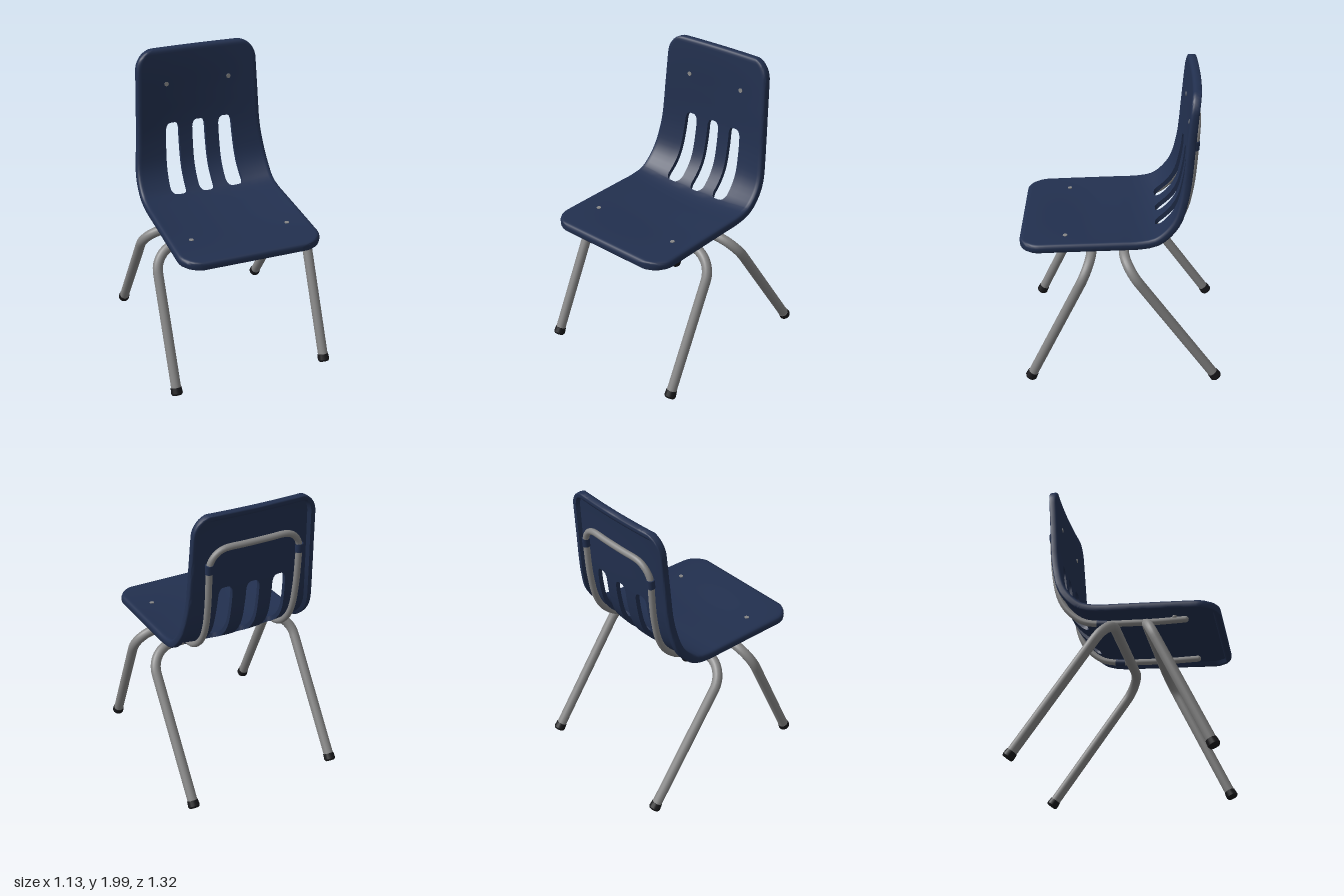
import * as THREE from 'three';
import { toCreasedNormals } from 'three/addons/utils/BufferGeometryUtils.js';

const V = (x, y, z) => new THREE.Vector3(x, y, z);
const { smoothstep, clamp, lerp } = THREE.MathUtils;

// Side profile of the sitting surface, from the front edge to the top of the back
const profile = new THREE.CatmullRomCurve3([
  [1.0, 0.665], [1.015, 0.35], [1.03, 0], [1.035, -0.1], [1.062, -0.21], [1.17, -0.31],
  [1.34, -0.357], [1.66, -0.385], [1.85, -0.4], [2.0, -0.413],
].map(([y, z]) => V(0, y, z)), false, 'centripetal');
profile.arcLengthDivisions = 600;
const L = profile.getLength();
const samples = profile.getSpacedPoints(600);
const sWhere = (test) => samples.findIndex(test) / 600 * L;
const slotStart = sWhere((p) => p.z < -0.2);
const slotEnd = sWhere((p) => p.y > 1.48);

// Point at x across, s along the profile and a depth below the dished surface
function at(x, s, depth) {
  const u = clamp(s / L, 0, 1);
  const p = profile.getPointAt(u), t = profile.getTangentAt(u);
  const bow = 0.035 * smoothstep(s, 0, 0.5) * (1 - 0.4 * smoothstep(s, L - 0.5, L));
  const k = bow * (1 - (x / 0.47) ** 2) + depth;
  return V(x, p.y + t.z * k, p.z - t.y * k);
}

const quarter = (d, r) => (d >= r ? 1 : Math.sqrt(Math.max(0, 1 - (1 - d / r) ** 2)));

// Half width of the shell, with rounded corners at both ends
function halfWidth(s) {
  const y = profile.getPointAt(clamp(s / L, 0, 1)).y;
  const w = 0.478 - 0.035 * smoothstep(y, 1.08, 1.45) - 0.028 * clamp((y - 1.4) / 0.6, 0, 1);
  return w - 0.16 * (1 - quarter(s, 0.14)) - 0.12 * (1 - quarter(L - s, 0.13));
}

// Column positions on the +x half of one row
const RIM = [0.05, 0.035, 0.022, 0.009, 0.003, 0];
function halfColumns(s) {
  const t = clamp((s - slotStart) / (slotEnd - slotStart), 0, 1);
  const e = Math.max(0, Math.min(s - slotStart, slotEnd - s));
  const f = 0.35 + 0.65 * quarter(e, 0.05);
  const mid = 0.204 - 0.016 * t, h = (0.059 - 0.012 * t) * f;
  const c = (0.054 - 0.008 * t) * f, a = mid - h, b = mid + h;
  const w = halfWidth(s);
  return [c, (a + c) / 2, a, b, lerp(b, w - 0.05, 0.33), lerp(b, w - 0.05, 0.67), ...RIM.map((d) => w - d)];
}

// Moulded shell: thin sheet with a turned rim and three slots
function shellGeometry() {
  const keys = [0, 0.003, 0.009, 0.022, 0.035, 0.05, 0.09, 0.14];
  const ends = [0, 0.003, 0.01, 0.022, 0.036, 0.05];
  const marks = [...keys, ...keys.map((k) => L - k),
    ...ends.map((k) => slotStart + k), ...ends.map((k) => slotEnd - k)].sort((a, b) => a - b);
  const rows = [];
  for (let i = 0; i < marks.length - 1; i++) {
    const n = Math.ceil((marks[i + 1] - marks[i]) / 0.04);
    for (let k = 0; k < n; k++) rows.push(lerp(marks[i], marks[i + 1], k / n));
  }
  rows.push(L);

  const pos = [], index = [];
  let cols = 0;
  for (const s of rows) {
    const half = halfColumns(s), w = halfWidth(s);
    const xs = [...half.map((x) => -x).reverse(), ...half];
    cols = xs.length;
    for (const x of xs) {
      const d = Math.max(0, Math.min(w - Math.abs(x), s, L - s));
      const top = 0.022 * (1 - quarter(d, 0.022));
      const under = 0.03 + 0.024 * (1 - smoothstep(d, 0.034, 0.05)) - 0.007 * (1 - quarter(d, 0.009));
      pos.push(...at(x, s, top).toArray(), ...at(x, s, under).toArray());
    }
  }
  const m = cols / 2;
  const slotCols = [m - 1, m + 2, m - 4];
  const filled = (i, j) => {
    if (i < 0 || j < 0 || i >= rows.length - 1 || j >= cols - 1) return false;
    const s = (rows[i] + rows[i + 1]) / 2;
    return !(slotCols.includes(j) && s > slotStart && s < slotEnd);
  };
  const quad = (a, b, c, d) => index.push(a, b, c, a, c, d);
  const id = (i, j) => 2 * (i * cols + j);
  for (let i = 0; i < rows.length - 1; i++) {
    for (let j = 0; j < cols - 1; j++) {
      if (!filled(i, j)) continue;
      const c = [id(i, j), id(i, j + 1), id(i + 1, j + 1), id(i + 1, j)];
      quad(...c);
      quad(c[3] + 1, c[2] + 1, c[1] + 1, c[0] + 1);
      [[i - 1, j], [i, j + 1], [i + 1, j], [i, j - 1]].forEach(([ni, nj], k) => {
        const p = c[k], q = c[(k + 1) % 4];
        if (!filled(ni, nj)) quad(q, p, p + 1, q + 1);
      });
    }
  }
  const g = new THREE.BufferGeometry();
  g.setAttribute('position', new THREE.Float32BufferAttribute(pos, 3));
  g.setIndex(index);
  return toCreasedNormals(g, 1.0);
}

// Polyline with rounded corners
function roundedPath(points, r) {
  const path = new THREE.CurvePath();
  let from = points[0];
  for (let i = 1; i < points.length - 1; i++) {
    const c = points[i];
    const toward = (p, d) => c.clone().add(p.clone().sub(c).setLength(d));
    const a = toward(points[i - 1], r), b = toward(points[i + 1], r);
    path.add(new THREE.LineCurve3(from, a));
    path.add(new THREE.CubicBezierCurve3(a, toward(points[i - 1], r * 0.45), toward(points[i + 1], r * 0.45), b));
    from = b;
  }
  path.add(new THREE.LineCurve3(from, points[points.length - 1]));
  return path;
}

export function createModel() {
  const group = new THREE.Group();
  const material = (name, color) => {
    const m = new THREE.MeshStandardMaterial({ color });
    m.name = name;
    return m;
  };
  const navy = material('navy plastic', 0x22304f);
  const steel = material('grey steel', 0x868686);
  const black = material('black rubber', 0x17171a);

  const add = (name, geometry, mat) => {
    const mesh = new THREE.Mesh(geometry, mat);
    mesh.name = name;
    group.add(mesh);
    return mesh;
  };
  // Cylinder between two points
  const rod = (name, p, q, rp, rq, mat) => {
    const mesh = add(name, new THREE.CylinderGeometry(rq, rp, p.distanceTo(q), 16), mat);
    mesh.position.copy(p).lerp(q, 0.5);
    mesh.quaternion.setFromUnitVectors(V(0, 1, 0), q.clone().sub(p).normalize());
  };

  add('seatShell', shellGeometry(), navy);

  // Front and rear leg hoops with rubber feet
  for (const [name, footZ, footY, topZ] of [['front', 0.615, 0.018, 0.2], ['rear', -0.633, 0.023, -0.01]]) {
    const foot = (x) => V(x, footY, footZ), knee = (x) => V(x, 0.9, topZ);
    const start = (x) => foot(x).lerp(knee(x), 0.02);
    const path = roundedPath([start(-0.527), knee(-0.527), knee(0.527), start(0.527)], 0.17);
    add(name + 'Legs', new THREE.TubeGeometry(path, 110, 0.033, 16), steel);
    for (const x of [-0.527, 0.527]) {
      const tip = foot(x), dir = knee(x).sub(tip).normalize();
      const mid = tip.clone().addScaledVector(dir, 0.012);
      rod(name + 'FootSole', tip, mid, 0.032, 0.039, black);
      rod(name + 'Foot', mid, tip.clone().addScaledVector(dir, 0.05), 0.039, 0.036, black);
    }
  }

  // Support frame running under the seat and up behind the back
  const sFront = sWhere((p) => p.z < 0.44), sTop = sWhere((p) => p.y > 1.77);
  const X = 0.315, R = 0.13, D = 0.05;
  const side = [];
  for (let i = 0; i <= 16; i++) side.push([X, lerp(sFront, sTop - R, i / 16)]);
  for (let i = 1; i <= 5; i++) {
    const a = i / 5 * Math.PI / 2;
    side.push([X - R + R * Math.cos(a), sTop - R + R * Math.sin(a)]);
  }
  side.push([0.09, sTop]);
  const loop = [...side, ...side.map(([x, s]) => [-x, s]).reverse()];
  const framePath = new THREE.CatmullRomCurve3(loop.map(([x, s]) => at(x, s, D)), false, 'centripetal');
  add('supportFrame', new THREE.TubeGeometry(framePath, 150, 0.021, 12), steel);

  // Frame end caps, moulded clips and screws on both sides
  const sClip = sWhere((p) => p.y > 1.64), sSeat = sWhere((p) => p.z < -0.1);
  const sBackScrew = sWhere((p) => p.y > 1.755), sSeatScrew = sWhere((p) => p.z < 0.37);
  for (const k of [-1, 1]) {
    add('frameEnd', new THREE.SphereGeometry(0.021, 12, 8), steel).position.copy(at(k * X, sFront, D));
    for (const s of [sClip, sSeat]) {
      rod('frameClip', at(k * X, s - 0.03, D), at(k * X, s + 0.03, D), 0.025, 0.025, navy);
    }
    for (const [x, s] of [[0.22, sBackScrew], [0.33, sSeatScrew]]) {
      rod('screw', at(k * x, s, 0.04), at(k * x, s, -0.004), 0.015, 0.015, steel);
    }
  }
  return group;
}
